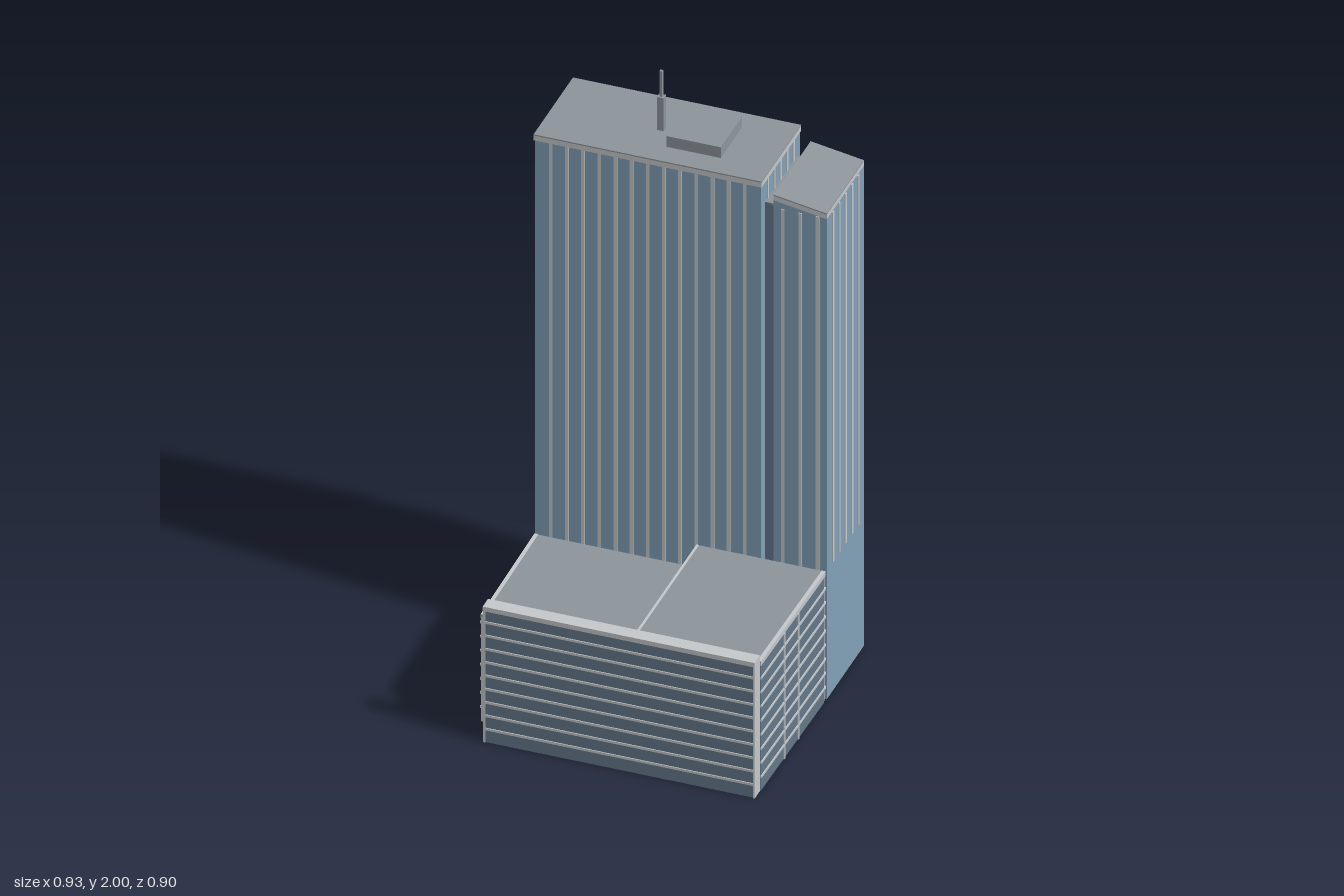
import * as THREE from 'three';

const mat = (name, color) => Object.assign(new THREE.MeshStandardMaterial({ color }), { name });

export function createModel() {
  const glass = mat('blue glass', 0x82a1b9);
  const darkGlass = mat('dark glass', 0x647889);
  const pale = mat('pale concrete', 0xc5c9cb);
  const roofGrey = mat('roof grey', 0x8e959b);
  const model = new THREE.Group();

  function group(name) {
    const g = new THREE.Group();
    g.name = name;
    model.add(g);
    return g;
  }

  // axis-aligned block given by its limits
  function block(parent, name, m, x0, x1, y0, y1, z0, z1) {
    const mesh = new THREE.Mesh(new THREE.BoxGeometry(x1 - x0, y1 - y0, z1 - z0), m);
    mesh.position.set((x0 + x1) / 2, (y0 + y1) / 2, (z0 + z1) / 2);
    mesh.name = name;
    parent.add(mesh);
  }

  // upright slab along the plan line a -> b ([x, z]); the outside is on its +z side when a -> b runs along +x
  function slab(parent, name, m, a, b, y0, y1, thick = 0.006, proud = 0) {
    const dx = b[0] - a[0], dz = b[1] - a[1], len = Math.hypot(dx, dz);
    const off = proud - thick / 2;
    const mesh = new THREE.Mesh(new THREE.BoxGeometry(len, y1 - y0, thick), m);
    mesh.position.set((a[0] + b[0]) / 2 - dz / len * off, (y0 + y1) / 2, (a[1] + b[1]) / 2 + dx / len * off);
    mesh.rotation.y = Math.atan2(-dz, dx);
    mesh.name = name;
    parent.add(mesh);
  }

  // vertical mullions at distances along the line a -> b
  function mullions(parent, a, b, y0, y1, distances, w = 0.011) {
    const len = Math.hypot(b[0] - a[0], b[1] - a[1]);
    const at = d => [a[0] + (b[0] - a[0]) * d / len, a[1] + (b[1] - a[1]) * d / len];
    for (const d of distances) slab(parent, 'mullion', pale, at(d - w / 2), at(d + w / 2), y0, y1, 0.005, 0.003);
  }

  function rails(parent, a, b, step, count, from = 1) {
    for (let i = from; i <= count; i++) slab(parent, 'floorLine', pale, a, b, i * step - 0.004, i * step + 0.004, 0.005, 0.003);
  }

  const spaced = (n, step, start = step) => Array.from({ length: n }, (_, i) => start + i * step);

  // flat plate from a plan outline
  function plate(parent, name, m, outline, y, h) {
    const s = new THREE.Shape(outline.map(([x, z]) => new THREE.Vector2(x, -z)));
    const mesh = new THREE.Mesh(new THREE.ExtrudeGeometry(s, { depth: h, bevelEnabled: false }), m);
    mesh.rotation.x = -Math.PI / 2;
    mesh.position.y = y;
    mesh.name = name;
    parent.add(mesh);
  }

  // main tower: four glass walls, open below
  const tower = group('mainTower');
  const [tx0, tx1, tz0, tz1] = [-0.462, 0.256, -0.447, -0.123];
  const corners = [[tx0, tz1], [tx1, tz1], [tx1, tz0], [tx0, tz0]];
  corners.forEach((a, i) => {
    const b = corners[(i + 1) % 4];
    const n = i % 2 ? 6 : 14;
    const step = (i % 2 ? tz1 - tz0 : tx1 - tx0) / n;
    slab(tower, 'glassWall', glass, a, b, 0, 1.775);
    mullions(tower, a, b, 0, 1.775, spaced(n - 1, step));
  });
  block(tower, 'roofBand', pale, -0.465, 0.259, 1.773, 1.79, -0.45, -0.12);
  block(tower, 'roof', roofGrey, -0.465, 0.259, 1.79, 1.794, -0.45, -0.12);
  block(tower, 'plantRoom', roofGrey, -0.073, 0.1, 1.79, 1.832, -0.374, -0.197);
  block(tower, 'mastBase', roofGrey, -0.132, -0.111, 1.79, 1.91, -0.294, -0.273);
  block(tower, 'mastTip', roofGrey, -0.126, -0.117, 1.91, 2, -0.288, -0.279);

  // recessed link between the two towers
  const link = group('link');
  slab(link, 'linkFront', darkGlass, [0.256, -0.155], [0.295, -0.155], 0, 1.7);
  slab(link, 'linkBack', darkGlass, [0.295, -0.42], [0.256, -0.42], 0, 1.7);
  block(link, 'linkRoof', roofGrey, 0.256, 0.295, 1.696, 1.701, -0.42, -0.155);

  // side tower with a sloping roof
  const side = group('sideTower');
  const [sx0, sx1, sz0, sz1] = [0.293, 0.462, -0.44, -0.13];
  const sc = [[sx0, sz1], [sx1, sz1], [sx1, sz0], [sx0, sz0]];
  sc.forEach((a, i) => {
    slab(side, 'glassWall', glass, a, sc[(i + 1) % 4], 0, 1.7);
  });
  mullions(side, sc[0], sc[1], 0, 1.705, spaced(3, 0.055, 0.03));
  mullions(side, sc[1], sc[2], 0.46, 1.7, spaced(5, 0.053, 0.049));
  mullions(side, sc[2], sc[3], 0, 1.705, spaced(3, 0.055, 0.03));
  function wedge(name, m, left0, left1, right0, right1) {
    const s = new THREE.Shape([[sx0, left0], [sx1, right0], [sx1, right1], [sx0, left1]].map(p => new THREE.Vector2(...p)));
    const mesh = new THREE.Mesh(new THREE.ExtrudeGeometry(s, { depth: sz1 - sz0, bevelEnabled: false }), m);
    mesh.position.z = sz0;
    mesh.name = name;
    side.add(mesh);
  }
  wedge('glassTop', glass, 1.695, 1.73, 1.695, 1.702);
  wedge('roofBand', pale, 1.73, 1.746, 1.702, 1.718);
  wedge('slopedRoof', roofGrey, 1.746, 1.75, 1.718, 1.722);

  // podium: low left half, taller right half, open below
  const podium = group('podium');
  const rightF = [0.455, 0.405], rightB = [0.461, -0.12];
  const leftB = [-0.461, -0.12], leftF = [-0.455, 0.345];
  slab(podium, 'rightWall', pale, rightF, rightB, 0, 0.46, 0.008, -0.003);
  slab(podium, 'rightGlass', darkGlass, rightF, [0.461, -0.11], 0, 0.445, 0.003);
  rails(podium, rightF, rightB, 0.05, 8);
  mullions(podium, rightF, rightB, 0, 0.445, [0.19, 0.305], 0.009);
  slab(podium, 'rightCap', pale, rightF, rightB, 0.443, 0.46, 0.008, 0.001);

  slab(podium, 'leftWall', pale, leftB, leftF, 0, 0.38, 0.008, -0.003);
  slab(podium, 'leftGlass', darkGlass, leftB, leftF, 0, 0.368, 0.003);
  rails(podium, leftB, leftF, 0.05, 7);
  mullions(podium, leftB, leftF, 0, 0.37, [0.115, 0.23, 0.345], 0.009);
  slab(podium, 'leftCap', pale, leftB, leftF, 0.366, 0.38, 0.008, 0.001);
  slab(podium, 'notchFront', pale, leftF, [-0.412, 0.345], 0, 0.38);
  slab(podium, 'notchSide', pale, [-0.412, 0.345], [-0.408, 0.406], 0, 0.38);

  plate(podium, 'lowRoof', roofGrey, [leftB, leftF, [-0.412, 0.345], [-0.408, 0.406], [0.058, 0.406], [0.058, -0.12]], 0.372, 0.006);
  plate(podium, 'highRoof', roofGrey, [[0.055, -0.12], [0.055, 0.406], rightF, rightB], 0.453, 0.006);
  block(podium, 'roofStep', pale, 0.052, 0.06, 0.37, 0.46, -0.12, 0.406);

  // front wall, standing above the roofs
  const front = group('frontWall');
  block(front, 'frontGlass', darkGlass, -0.402, 0.447, 0, 0.466, 0.408, 0.446);
  block(front, 'endLeft', pale, -0.41, -0.402, 0, 0.48, 0.405, 0.449);
  block(front, 'endRight', pale, 0.447, 0.453, 0, 0.48, 0.405, 0.449);
  block(front, 'coping', pale, -0.41, 0.453, 0.465, 0.481, 0.405, 0.45);
  rails(front, [-0.405, 0.446], [0.45, 0.446], 0.0472, 9);
  rails(front, [0.45, 0.408], [-0.405, 0.408], 0.0472, 9);
  mullions(front, [0.45, 0.408], [-0.405, 0.408], 0, 0.466, spaced(7, 0.107), 0.009);

  return model;
}
